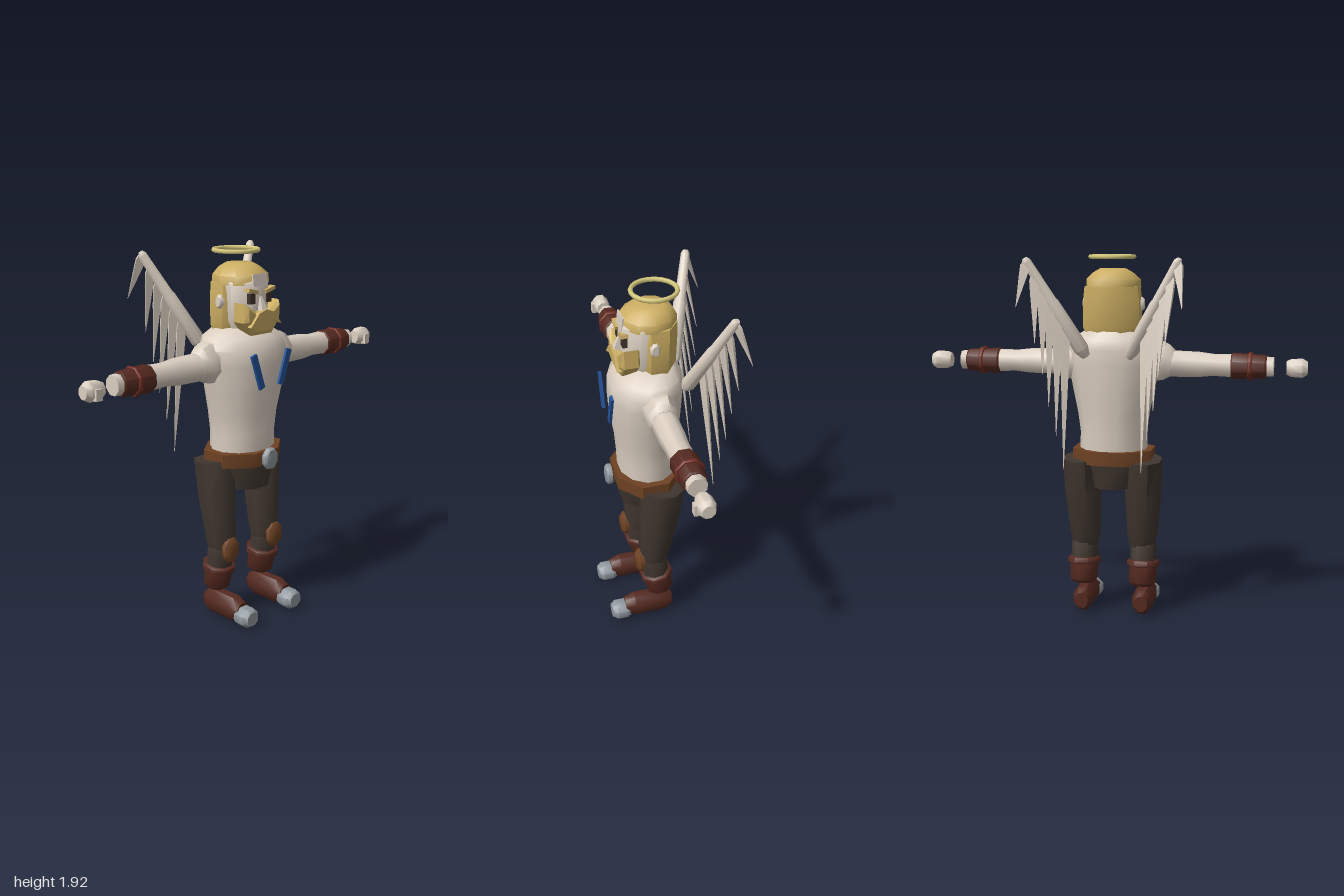
import * as THREE from 'three';
import { toCreasedNormals } from 'three/addons/utils/BufferGeometryUtils.js';

const mat = (name, color) => {
  const m = new THREE.MeshStandardMaterial({ color });
  m.name = name;
  return m;
};

export function createModel() {
  const skin = mat('pale skin', 0xdacec0);
  const hair = mat('golden hair', 0xcbad62);
  const gold = mat('halo gold', 0xd6c87c);
  const leather = mat('dark red leather', 0x54291f);
  const trim = mat('red trim', 0x6e2b22);
  const cloth = mat('dark trousers', 0x40362f);
  const belt = mat('brown belt', 0x6e4223);
  const metal = mat('grey metal', 0x8f979d);
  const dark = mat('dark eyes', 0x41342a);
  const blue = mat('blue cloth', 0x25539a);

  const model = new THREE.Group();
  model.name = 'wingedFigure';

  const add = (parent, name, geo, material) => {
    const mesh = new THREE.Mesh(geo, material);
    mesh.name = name;
    parent.add(mesh);
    return mesh;
  };
  const group = (name) => {
    const g = new THREE.Group();
    g.name = name;
    model.add(g);
    return g;
  };

  // Faceted limb from a to b; profile rows are [t, radiusX, radiusZ, shiftZ]
  const limb = (parent, name, material, a, b, profile, sides = 8, spin = 0) => {
    const start = new THREE.Vector3(...a), dir = new THREE.Vector3(...b).sub(start);
    const len = dir.length(), rows = profile.length - 1;
    const geo = new THREE.CylinderGeometry(1, 1, 1, sides, rows, false, Math.PI / sides);
    const pos = geo.attributes.position, k = 1 / Math.cos(Math.PI / sides);
    for (let i = 0; i < pos.count; i++) {
      const [t, rx, rz = rx, dz = 0] = profile[Math.round((pos.getY(i) + 0.5) * rows)];
      pos.setXYZ(i, pos.getX(i) * rx * k, t * len, pos.getZ(i) * rz * k + dz);
    }
    geo.rotateY(spin);
    geo.applyQuaternion(new THREE.Quaternion().setFromUnitVectors(
      new THREE.Vector3(0, 1, 0), dir.normalize()));
    geo.translate(...a);
    return add(parent, name, toCreasedNormals(geo, 0.84), material);
  };
  const box = (parent, name, material, size, at, rot = [0, 0, 0]) => {
    const mesh = add(parent, name, new THREE.BoxGeometry(...size), material);
    mesh.position.set(...at);
    mesh.rotation.set(...rot);
    return mesh;
  };
  const plate = (parent, name, material, points, z, depth, bevel) => {
    const shape = new THREE.Shape(points.map(p => new THREE.Vector2(...p)));
    const geo = new THREE.ExtrudeGeometry(shape, {
      depth, bevelEnabled: bevel > 0, bevelThickness: bevel, bevelSize: bevel,
      bevelOffset: -bevel, bevelSegments: 1,
    });
    add(parent, name, geo.translate(0, 0, z), material);
  };

  // Torso, pelvis and belt: t is the height
  const body = group('body');
  const O = [0, 0, 0], UP = [0, 1, 0];
  limb(body, 'torso', skin, O, UP, [
    [0.88, 0.175, 0.145, 0.085], [1.0, 0.172, 0.15, 0.085], [1.1, 0.185, 0.157, 0.085],
    [1.22, 0.21, 0.172, 0.09], [1.36, 0.235, 0.18, 0.09], [1.44, 0.245, 0.178, 0.088],
    [1.49, 0.22, 0.158, 0.075], [1.54, 0.13, 0.11, 0.065]], 12);
  limb(body, 'pelvis', cloth, O, UP, [[0.705, 0.12, 0.135, 0.09], [0.85, 0.165, 0.155, 0.09]]);
  limb(body, 'belt', belt, O, UP, [[0.837, 0.208, 0.168, 0.09], [0.91, 0.21, 0.17, 0.09]]);
  limb(body, 'buckle', metal, [0, 0.877, 0.275], [0, 0.877, 0.305],
    [[0, 0.045, 0.053], [0.7, 0.045, 0.053], [1, 0.037, 0.045]]);

  // Head, hair and face
  const head = group('head');
  limb(head, 'skull', skin, O, UP, [[1.5, 0.1, 0.1, 0.08], [1.58, 0.125, 0.13, 0.08],
    [1.76, 0.13, 0.13, 0.08], [1.8, 0.11, 0.11, 0.07]]);
  limb(head, 'hairCap', hair, O, UP, [[1.752, 0.138, 0.137, 0.072], [1.795, 0.136, 0.132, 0.07],
    [1.83, 0.1, 0.1, 0.06], [1.85, 0.065, 0.065, 0.06]], 10);
  limb(head, 'backHair', hair, O, UP, [[1.505, 0.13, 0.09, 0.05], [1.55, 0.148, 0.105, 0.05],
    [1.7, 0.145, 0.11, 0.048], [1.76, 0.138, 0.108, 0.045]]);
  box(head, 'foreheadPatch', skin, [0.1, 0.062, 0.008], [0, 1.775, 0.206], [-0.13, 0, 0]);
  plate(head, 'beard', hair, [[-0.12, 1.67], [-0.125, 1.575], [-0.07, 1.508], [0.07, 1.508],
    [0.125, 1.575], [0.12, 1.67], [0.045, 1.625], [-0.045, 1.625]], 0.15, 0.07, 0.02);
  plate(head, 'moustache', hair, [[0, 1.635], [-0.05, 1.62], [-0.108, 1.555], [-0.05, 1.58],
    [0, 1.572], [0.05, 1.58], [0.108, 1.555], [0.05, 1.62]], 0.23, 0.025, 0);
  limb(head, 'nose', skin, [0, 1.62, 0.212], [0, 1.695, 0.205], [[0, 0.02, 0.035], [1, 0.007, 0.01]], 4);
  const halo = new THREE.TorusGeometry(0.112, 0.012, 6, 20).rotateX(Math.PI / 2);
  add(head, 'halo', halo.translate(0, 1.91, 0.038), gold);

  for (const s of [1, -1]) {
    const side = s > 0 ? 'left' : 'right';

    // Eye, brow and ear
    box(head, side + 'Eye', dark, [0.034, 0.052, 0.03], [s * 0.056, 1.688, 0.2]);
    box(head, side + 'Brow', hair, [0.065, 0.018, 0.035], [s * 0.06, 1.725, 0.207], [0, 0, s * 0.25]);
    limb(head, side + 'Ear', skin, [s * 0.135, 1.67, 0.075], [s * 0.162, 1.67, 0.075],
      [[0, 0.035, 0.024], [0.6, 0.034, 0.023], [1, 0.025, 0.015]]);

    // Chest strap
    box(body, side + 'ChestStrap', blue, [0.035, 0.185, 0.014], [s * 0.095, 1.34, 0.288], [0, 0, -s * 0.33]);

    // Arm reaching outward
    const arm = group(side + 'Arm');
    const out = (x, y = 1.36, z = 0.078) => [s * x, y, z];
    limb(arm, 'shoulder', skin, out(0.19, 1.385), out(0.31, 1.365),
      [[0, 0.09, 0.08], [0.4, 0.102, 0.08], [0.75, 0.09, 0.074], [1, 0.068, 0.064]]);
    limb(arm, 'armSkin', skin, out(0.28, 1.365), out(0.83), [[0, 0.066, 0.064], [0.3, 0.063, 0.06],
      [0.45, 0.054, 0.054], [0.65, 0.058, 0.054], [1, 0.047, 0.045]]);
    limb(arm, 'bracer', leather, out(0.615), out(0.795), [[0, 0.06], [0.04, 0.065], [0.95, 0.057], [1, 0.053]]);
    limb(arm, 'bracerBand', trim, out(0.7), out(0.722), [[0, 0.066], [0.25, 0.07], [0.75, 0.07], [1, 0.066]]);
    limb(arm, 'hand', skin, out(0.894, 1.356, 0.083), out(1, 1.356, 0.083),
      [[0, 0.034, 0.03], [0.22, 0.044, 0.04], [0.75, 0.047, 0.042], [1, 0.032, 0.03]]);
    box(arm, 'thumb', skin, [0.035, 0.055, 0.03], [s * 0.947, 1.345, 0.122]);

    // Leg, boot and shoe
    const leg = group(side + 'Leg');
    const at = (y, z, x = 0.163) => [s * x, y, z];
    limb(leg, 'thigh', cloth, at(0.37, 0.097, 0.155), at(0.86, 0.045, 0.168),
      [[0, 0.066, 0.062], [0.15, 0.077, 0.078], [0.65, 0.092, 0.102], [1, 0.092, 0.106]]);
    limb(leg, 'shin', cloth, at(0.27, 0.078), at(0.405, 0.098), [[0, 0.065], [0.7, 0.068], [1, 0.06]]);
    limb(leg, 'kneePad', belt, at(0.388, 0.155), at(0.388, 0.192),
      [[0, 0.05, 0.064], [0.6, 0.05, 0.064], [1, 0.035, 0.045]]);
    limb(leg, 'bootCuff', leather, at(0.157, 0.058), at(0.296, 0.083), [[0, 0.052], [0.12, 0.068],
      [0.75, 0.073], [0.78, 0.084], [0.96, 0.084], [1, 0.078]]);
    limb(leg, 'shoe', leather, at(0.07, -0.005), at(0.07, 0.26),
      [[0, 0.035, 0.042], [0.14, 0.052, 0.065], [0.8, 0.054, 0.066], [1, 0.045, 0.045]]);
    limb(leg, 'toeCap', metal, at(0.05, 0.235), at(0.05, 0.333),
      [[0, 0.045, 0.04], [0.2, 0.055, 0.05], [0.75, 0.055, 0.05], [1, 0.038, 0.036]]);

    // Wing: a slanted bone with hanging pointed feathers
    const wing = group(side + 'Wing');
    const root = [s * 0.11, 1.41, -0.09], tip = [s * 0.385, 1.905, -0.24];
    limb(wing, 'wingBone', skin, root, tip,
      [[0, 0.02], [0.08, 0.036], [0.55, 0.03], [0.57, 0.026], [0.97, 0.021], [1, 0.012]]);
    const ends = [[0.41, 1.67, -0.318], [0.325, 1.49, -0.287], [0.29, 1.335, -0.272],
      [0.265, 1.17, -0.257], [0.232, 1.02, -0.242], [0.2, 0.845, -0.222]];
    ends.forEach(([x, y, z], i) => {
      const t = 0.97 - i * 0.125;
      const base = root.map((v, k) => v + (tip[k] - v) * t);
      limb(wing, 'feather' + (i + 1), skin, [s * x, y, z], base,
        [[0, 0.001, 0.001], [0.7, 0.02, 0.006], [0.9, 0.024, 0.007], [1, 0.015, 0.006]], 4, s * 0.43);
    });
  }
  return model;
}
